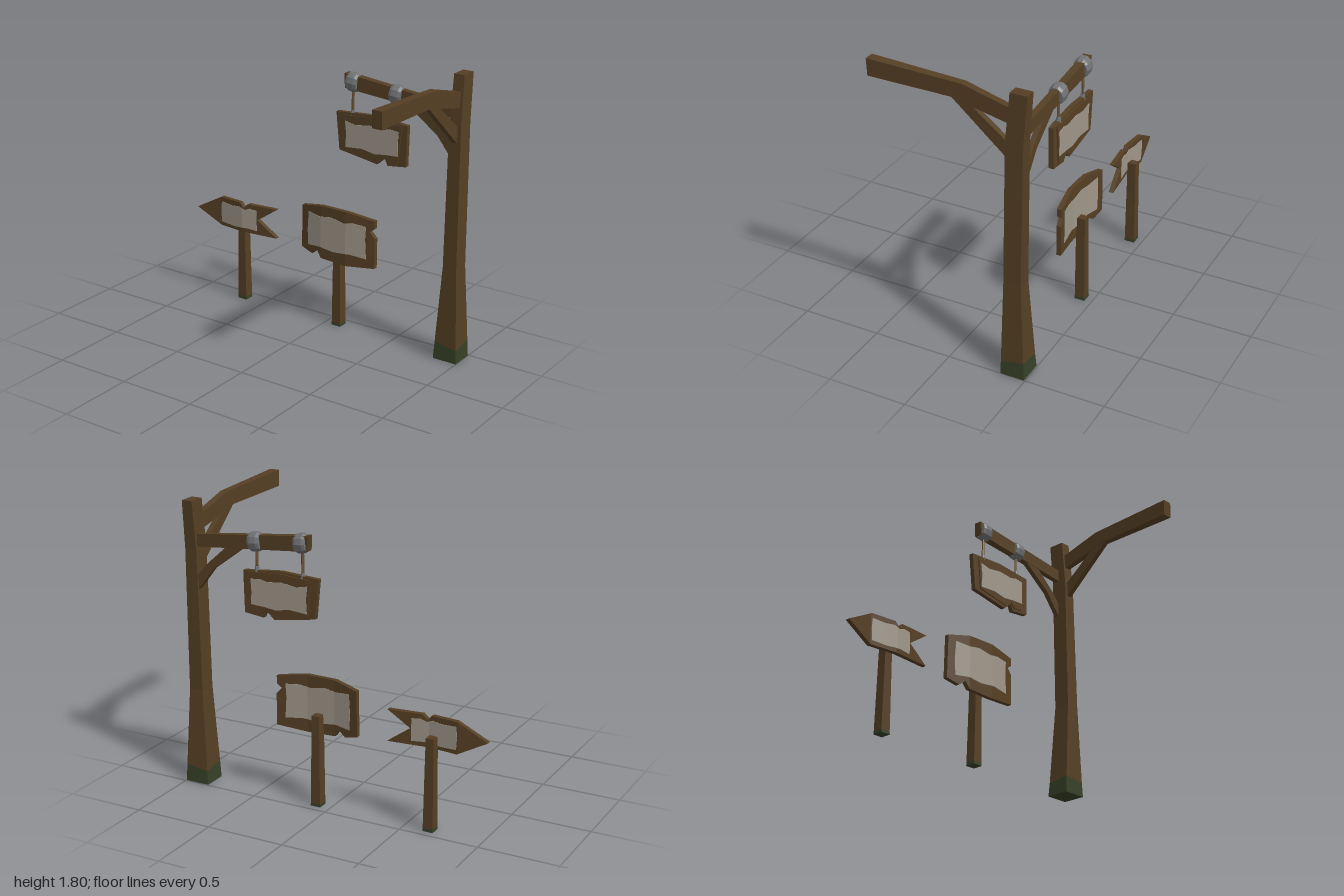
import * as THREE from 'three';
import { mergeGeometries } from 'three/addons/utils/BufferGeometryUtils.js';

const mat = (name, color) => {
  const m = new THREE.MeshStandardMaterial({ color, flatShading: true });
  m.name = name;
  return m;
};

// Solid through a row of four-cornered sections, wound outwards
function loft(sections) {
  const tris = [];
  const quad = (a, b, c, d) => tris.push([a, b, c], [a, c, d]);
  quad(...sections[0].slice().reverse());
  quad(...sections[sections.length - 1]);
  for (let i = 0; i + 1 < sections.length; i++) {
    const s = sections[i], t = sections[i + 1];
    for (let k = 0; k < 4; k++) {
      const n = (k + 1) % 4;
      quad(s[k], s[n], t[n], t[k]);
    }
  }
  const v = (p) => new THREE.Vector3(...p);
  const origin = v(sections[0][0]);
  let volume = 0;
  for (const [a, b, c] of tris) {
    volume += v(a).sub(origin).dot(v(b).sub(origin).cross(v(c).sub(origin)));
  }
  if (volume < 0) tris.forEach((t) => t.reverse());
  const g = new THREE.BufferGeometry();
  g.setAttribute('position', new THREE.Float32BufferAttribute(tris.flat(2), 3));
  g.computeVertexNormals();
  return g;
}

// Level section of a post; tilt raises and lowers opposite corners
const level = (y, x0, x1, z0, z1, tilt = 0) =>
  [[x0, y + tilt, z1], [x1, y - tilt, z1], [x1, y + tilt, z0], [x0, y - tilt, z0]];
// Upright beam sections running along x or along z
const alongX = (xt, top, xb, bottom, z0, z1) =>
  [[xt, top, z0], [xt, top, z1], [xb, bottom, z1], [xb, bottom, z0]];
const alongZ = (zt, top, zb, bottom, x0, x1) =>
  [[x0, top, zt], [x1, top, zt], [x1, bottom, zb], [x0, bottom, zb]];

// Part of an outline on one side of a vertical line
function clip(poly, x, side) {
  const out = [];
  poly.forEach((p, i) => {
    const q = poly[(i + 1) % poly.length];
    const dp = (p[0] - x) * side, dq = (q[0] - x) * side;
    if (dp >= 0) out.push(p);
    if (dp * dq < 0) out.push([x, p[1] + (q[1] - p[1]) * dp / (dp - dq)]);
  });
  return out;
}

// Board with the given outline, bent along a path of [x, z] points
function bentBoard(outline, path, thickness) {
  const strips = [];
  for (let i = 0; i + 1 < path.length; i++) {
    const [xa, za] = path[i], [xb, zb] = path[i + 1];
    const piece = clip(clip(outline, xa, 1), xb, -1);
    if (piece.length < 3) continue;
    const shape = new THREE.Shape(piece.map((p) => new THREE.Vector2(...p)));
    const g = new THREE.ExtrudeGeometry(shape, { depth: thickness, bevelEnabled: false });
    const pos = g.attributes.position;
    for (let k = 0; k < pos.count; k++) {
      const t = (pos.getX(k) - xa) / (xb - xa);
      pos.setZ(k, pos.getZ(k) - thickness / 2 + za + (zb - za) * t);
    }
    g.computeVertexNormals();
    strips.push(g);
  }
  return mergeGeometries(strips);
}

export function createModel() {
  const wood = mat('wood', 0x553f24);
  const paper = mat('paper', 0xa0978a);
  const moss = mat('moss', 0x364026);
  const metal = mat('metal', 0x707274);
  const rope = mat('rope', 0x6a5433);
  const root = new THREE.Group();
  const add = (name, geometry, material, parent = root) => {
    const mesh = new THREE.Mesh(geometry, material);
    mesh.name = name;
    parent.add(mesh);
    return mesh;
  };

  // Tall post with a mossy foot
  const mossLine = level(0.1, 0.847, 0.995, -0.487, -0.342, 0.012);
  add('tallPostFoot', loft([level(0, 0.84, 1, -0.493, -0.34), mossLine]), moss);
  add('tallPost', loft([
    mossLine,
    level(0.61, 0.88, 0.972, -0.46, -0.35),
    level(1.5, 0.882, 0.96, -0.47, -0.36),
    level(1.805, 0.886, 0.955, -0.494, -0.388),
  ]), wood);

  // Front arm and its brace
  add('frontArm', loft([
    alongZ(-0.42, 1.695, -0.42, 1.6, 0.9, 0.94),
    alongZ(-0.095, 1.782, -0.02, 1.69, 0.897, 0.943),
    alongZ(0.5, 1.805, 0.495, 1.7, 0.888, 0.952),
  ]), wood);
  add('frontBrace', loft([
    alongZ(-0.38, 1.482, -0.38, 1.38, 0.903, 0.938),
    alongZ(-0.1, 1.7, -0.01, 1.7, 0.903, 0.938),
  ]), wood);

  // Side arm and its bent brace
  add('sideArm', loft([
    alongX(0.115, 1.68, 0.12, 1.588, -0.466, -0.414),
    alongX(0.91, 1.598, 0.91, 1.52, -0.456, -0.42),
  ]), wood);
  add('sideBrace', loft([
    alongX(0.65, 1.57, 0.53, 1.575, -0.455, -0.422),
    alongX(0.81, 1.43, 0.77, 1.4, -0.455, -0.422),
    alongX(0.9, 1.335, 0.9, 1.235, -0.455, -0.422),
  ]), wood);

  // Straps, ropes and knobs that hold the hanging sign
  const strapProfile = [[0, -0.038], [0.05, -0.038], [0.058, -0.02], [0.058, 0.02],
    [0.05, 0.038], [0, 0.038]].map((p) => new THREE.Vector2(...p));
  for (const [x, y] of [[0.17, 1.628], [0.48, 1.6]]) {
    const hanger = new THREE.Group();
    hanger.name = 'hanger';
    hanger.position.set(x, 0, -0.438);
    root.add(hanger);
    const strap = add('strap', new THREE.LatheGeometry(strapProfile, 10), metal, hanger);
    strap.position.y = y;
    strap.rotation.z = -Math.PI / 2 - 0.1;
    strap.scale.set(1.05, 1, 0.9);
    const cord = add('rope', new THREE.CylinderGeometry(0.009, 0.009, 0.16, 6), rope, hanger);
    cord.position.set(-0.004, 1.505, 0);
    const knob = add('knob', new THREE.CylinderGeometry(0.012, 0.018, 0.035, 8), metal, hanger);
    knob.position.set(-0.004, 1.435, 0);
  }

  // Hanging sign: backing board, raised face on both sides, paper on both sides
  const straight = [[0, -0.437], [1, -0.437]];
  add('hangingBoard', bentBoard([[0.055, 1.428], [0.31, 1.443], [0.565, 1.42], [0.56, 1.16],
    [0.43, 1.145], [0.41, 1.19], [0.355, 1.14], [0.08, 1.185]], straight, 0.03), wood);
  add('hangingFace', bentBoard([[0.105, 1.415], [0.31, 1.43], [0.53, 1.415], [0.505, 1.17],
    [0.44, 1.165], [0.41, 1.197], [0.36, 1.16], [0.125, 1.2]], straight, 0.046), wood);
  add('hangingPaper', bentBoard([[0.125, 1.38], [0.2, 1.365], [0.3, 1.38], [0.4, 1.37],
    [0.45, 1.382], [0.51, 1.375], [0.505, 1.3], [0.51, 1.22], [0.42, 1.215], [0.34, 1.205],
    [0.25, 1.222], [0.13, 1.212], [0.135, 1.3]], straight, 0.052), paper);

  // Broad sign
  const broadBend = [[-0.2, -0.412], [-0.015, -0.379], [0.175, -0.373], [0.4, -0.402]];
  add('broadBoard', bentBoard([[-0.175, 0.775], [-0.015, 0.808], [0.18, 0.808], [0.372, 0.78],
    [0.372, 0.73], [0.34, 0.705], [0.375, 0.665], [0.375, 0.465], [0.17, 0.445], [-0.015, 0.455],
    [-0.045, 0.5], [-0.09, 0.465], [-0.18, 0.49]], broadBend, 0.03), wood);
  add('broadPaper', bentBoard([[-0.12, 0.745], [-0.02, 0.735], [0.06, 0.748], [0.16, 0.73],
    [0.23, 0.742], [0.315, 0.735], [0.31, 0.65], [0.318, 0.52], [0.2, 0.53], [0.08, 0.518],
    [-0.02, 0.53], [-0.122, 0.52], [-0.128, 0.62]], broadBend, 0.036), paper);

  // Arrow sign
  const arrowBend = [[-1, -0.373], [-0.82, -0.39], [-0.63, -0.37], [-0.36, -0.395]];
  add('arrowBoard', bentBoard([[-1, 0.597], [-0.815, 0.698], [-0.645, 0.698], [-0.62, 0.667],
    [-0.588, 0.698], [-0.372, 0.698], [-0.515, 0.6], [-0.372, 0.5], [-0.815, 0.5]],
  arrowBend, 0.03), wood);
  add('arrowPaper', bentBoard([[-0.81, 0.668], [-0.72, 0.662], [-0.65, 0.67], [-0.615, 0.655],
    [-0.575, 0.67], [-0.523, 0.665], [-0.52, 0.61], [-0.52, 0.525], [-0.6, 0.53], [-0.7, 0.522],
    [-0.81, 0.527], [-0.815, 0.6]], arrowBend, 0.036), paper);

  // Short posts behind the two standing signs
  for (const [name, x] of [['broadPost', 0.09], ['arrowPost', -0.662]]) {
    const line = level(0.02, x - 0.032, x + 0.032, -0.455, -0.39);
    add(name + 'Foot', loft([level(0, x - 0.033, x + 0.033, -0.456, -0.389), line]), moss);
    add(name, loft([line, level(0.58, x - 0.025, x + 0.025, -0.445, -0.388)]), wood);
  }
  return root;
}
